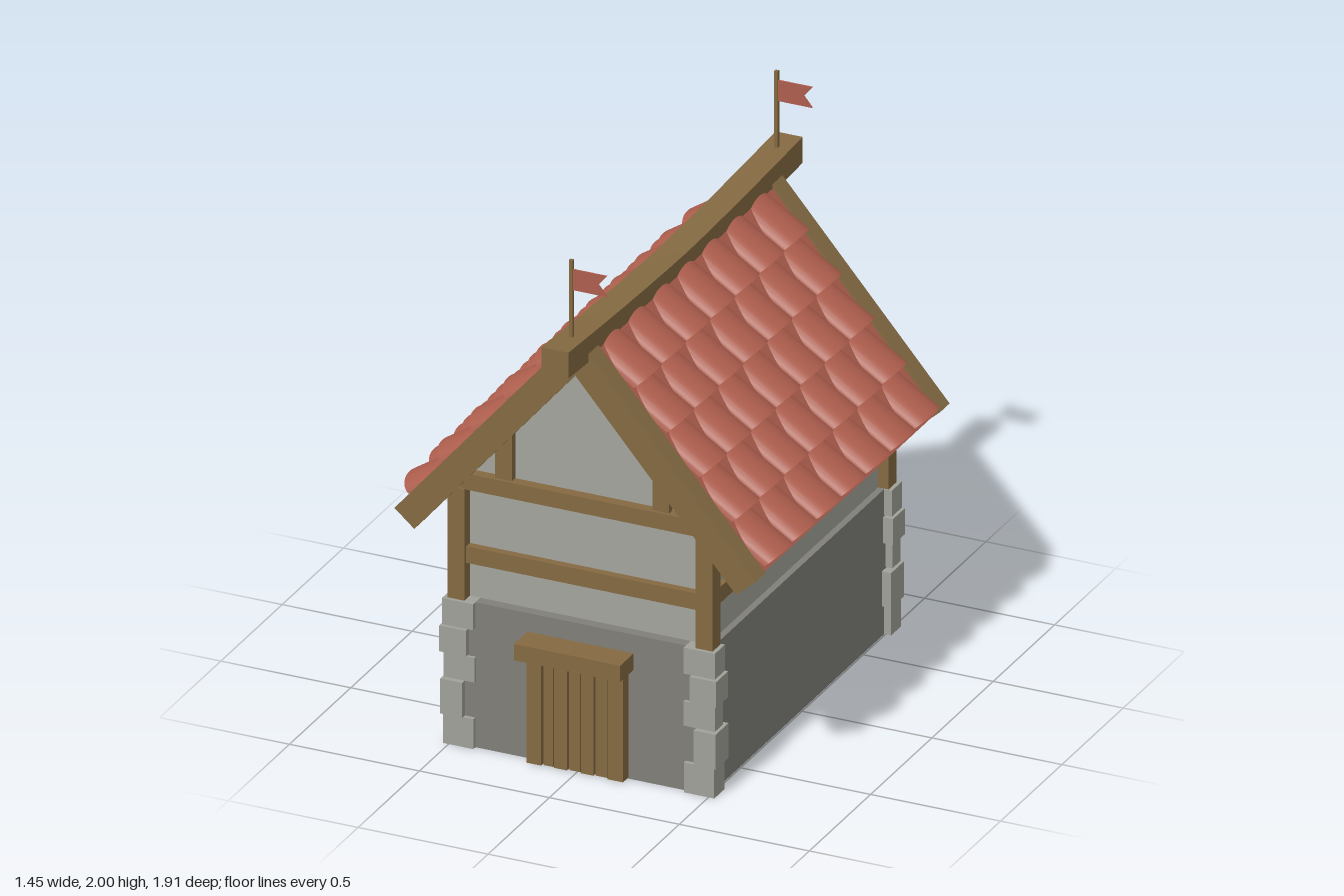
import * as THREE from 'three';
import { toCreasedNormals } from 'three/addons/utils/BufferGeometryUtils.js';

const mat = (name, color, side = THREE.FrontSide) => {
  const m = new THREE.MeshStandardMaterial({ color, side });
  m.name = name;
  return m;
};

// Roof plane: apex height and pitch
const PITCH = Math.atan(1.165), C = Math.cos(PITCH), S = Math.sin(PITCH);
const APEX = 1.678;

export function createModel() {
  const root = new THREE.Group();
  root.name = 'cottage';
  const wood = mat('wood', 0x846a42);
  const plaster = mat('plaster', 0xa3a49c);
  const quoinStone = mat('pale stone', 0xa0a198);
  const stone = mat('dark stone', 0x807f79);
  const clay = mat('red clay', 0xae5e4d);
  const cloth = mat('red cloth', 0xae5e4d, THREE.DoubleSide);

  const add = (name, geo, material, parent = root) => {
    const m = new THREE.Mesh(geo, material);
    m.name = name;
    parent.add(m);
    return m;
  };
  // Box given by its minimum and maximum on each axis
  const box = (name, material, x0, x1, y0, y1, z0, z1) => {
    const m = add(name, new THREE.BoxGeometry(x1 - x0, y1 - y0, z1 - z0), material);
    m.position.set((x0 + x1) / 2, (y0 + y1) / 2, (z0 + z1) / 2);
    return m;
  };
  // Outline in x, y extruded between two z values
  const prism = (name, material, pts, z0, z1) => {
    const shape = new THREE.Shape(pts.map(p => new THREE.Vector2(...p)));
    const geo = new THREE.ExtrudeGeometry(shape, { depth: z1 - z0, bevelEnabled: false });
    geo.translate(0, 0, z0);
    return add(name, geo, material);
  };
  // Inverted V: bounded by normal offsets from the roof plane, with a flat-cut peak
  const chevron = (inner, outer, length, cut) => {
    const at = (s, n) => [C * s + S * n, APEX - S * s + C * n];
    const top = APEX + outer / C;
    const right = [[(top - cut) * C / S, cut], at(length, outer), at(length, inner)];
    const left = right.map(([x, y]) => [-x, y]).reverse();
    return [...right, [0, APEX + inner / C], ...left];
  };

  // Walls
  box('stoneBase', stone, -0.495, 0.495, 0, 0.56, -0.745, 0.745);
  prism('plasterWalls', plaster,
    [[-0.47, 0.55], [0.47, 0.55], [0.47, 1.03], [0, 1.57], [-0.47, 1.03]], -0.705, 0.705);

  // Corner stones: y range, outer x, inner x, outer z, inner z
  const quoins = [
    [0, 0.115, 0.522, 0.405, 0.762, 0.68],
    [0.115, 0.25, 0.53, 0.445, 0.768, 0.662],
    [0.255, 0.35, 0.522, 0.402, 0.757, 0.69],
    [0.355, 0.455, 0.533, 0.43, 0.769, 0.672],
    [0.46, 0.56, 0.525, 0.405, 0.764, 0.68],
  ];
  const span = (sign, a, b) => sign > 0 ? [b, a] : [-a, -b];
  for (const sx of [-1, 1]) for (const sz of [-1, 1]) {
    for (const [y0, y1, xo, xi, zo, zi] of quoins) {
      box('cornerStone', quoinStone, ...span(sx, xo, xi), y0, y1, ...span(sz, zo, zi));
    }
    box('cornerPost', wood, ...span(sx, 0.51, 0.445), 0.555, 0.99, ...span(sz, 0.75, 0.685));
  }

  // Timber frame
  for (const s of [-1, 1]) {
    box('sideRail', wood, ...span(s, 0.492, 0.45), 0.7, 0.762, -0.7, 0.7);
    box('gableRail', wood, -0.46, 0.46, 0.7, 0.764, ...span(s, 0.735, 0.69));
    box('tieBeam', wood, -0.46, 0.46, 0.988, 1.05, ...span(s, 0.745, 0.69));
    for (const sx of [-1, 1]) {
      prism('gableStud', wood, [[0.27, 1.04], [0.335, 1.04], [0.335, 1.19], [0.27, 1.27]]
        .map(([x, y]) => [x * sx, y]), ...span(s, 0.733, 0.69));
    }
    prism('bargeBoard', wood, chevron(-0.09, 0.011, 1.055, 1.635), ...span(s, 0.79, 0.71));
  }

  // Door of uneven planks under a lintel
  const edges = [-0.19, -0.128, -0.085, -0.03, 0.018, 0.072, 0.122, 0.187];
  const depth = [0.79, 0.782, 0.787, 0.78, 0.786, 0.781, 0.79];
  box('doorBack', wood, -0.187, 0.184, 0.005, 0.43, 0.74, 0.768);
  depth.forEach((z, i) =>
    box('doorPlank', wood, edges[i] + 0.003, edges[i + 1] - 0.003, 0.005, 0.43, 0.74, z));
  box('doorLintel', wood, -0.204, 0.204, 0.425, 0.488, 0.74, 0.855);

  // Roof deck
  prism('roofDeck', clay, chevron(-0.046, 0, 1.05, 1.64), -0.712, 0.712);

  // Curved tile: half ring run down the slope, its upper end sunk into the deck
  const arc = new THREE.Shape();
  arc.absellipse(0, 0, 0.098, 0.055, 0, Math.PI, false);
  arc.lineTo(-0.08, 0);
  arc.absellipse(0, 0, 0.08, 0.038, Math.PI, 0, true);
  arc.closePath();
  const LEN = 0.24;
  let tile = new THREE.ExtrudeGeometry(arc, { depth: LEN, bevelEnabled: false, curveSegments: 12 });
  const p = tile.attributes.position;
  for (let i = 0; i < p.count; i++) {
    const t = p.getZ(i) / LEN;
    p.setX(i, p.getX(i) * (0.93 + 0.07 * t));
    p.setY(i, p.getY(i) - 0.055 + 0.069 * t);
  }
  tile = toCreasedNormals(tile, 0.7);

  const basis = new THREE.Matrix4().makeBasis(
    new THREE.Vector3(0, 0, -1), new THREE.Vector3(S, C, 0), new THREE.Vector3(C, -S, 0));
  for (const turn of [0, Math.PI]) {
    const side = new THREE.Group();
    side.name = 'roofTiles';
    side.rotation.y = turn;
    root.add(side);
    for (let row = 0; row < 5; row++) for (let col = -3; col <= 3; col++) {
      const m = add('roofTile', tile, clay, side);
      const s = 1.035 - 0.193 * row - LEN;
      m.quaternion.setFromRotationMatrix(basis);
      m.position.set(C * s, APEX - S * s, col * 0.2);
    }
  }

  // Sagging ridge beam
  let ridge = new THREE.BoxGeometry(0.104, 0.1, 1.91, 1, 1, 12);
  const r = ridge.attributes.position;
  for (let i = 0; i < r.count; i++) {
    const t = Math.abs(r.getZ(i)) / 0.955;
    r.setY(i, r.getY(i) + 1.626 + 0.034 * Math.pow(t, 1.5));
  }
  ridge = ridge.toNonIndexed();
  ridge.computeVertexNormals();
  add('ridgeBeam', ridge, wood);

  // Swallow-tailed pennants on poles
  for (const z of [0.82, -0.853]) {
    box('flagPole', wood, -0.007, 0.007, 1.69, 2, z - 0.007, z + 0.007);
    prism('pennant', cloth,
      [[0, 1.885], [0.138, 1.885], [0.105, 1.925], [0.138, 1.965], [0, 1.965]], z - 0.003, z + 0.003);
  }
  return root;
}
